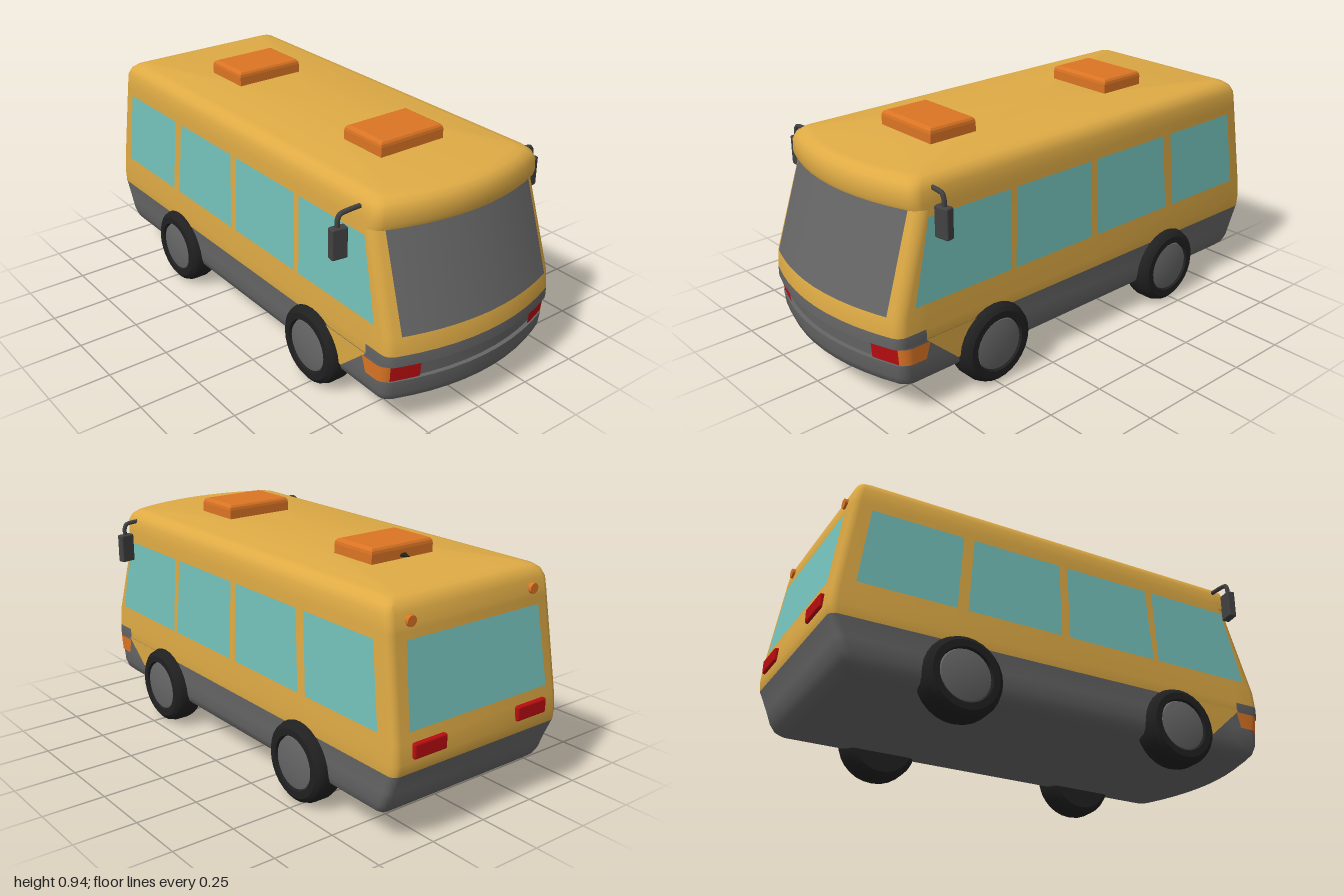
import * as THREE from 'three';
import { toCreasedNormals } from 'three/addons/utils/BufferGeometryUtils.js';
import { RoundedBoxGeometry } from 'three/addons/geometries/RoundedBoxGeometry.js';

const mat = (name, color, side = THREE.FrontSide) => {
  const m = new THREE.MeshStandardMaterial({ color, side });
  m.name = name;
  return m;
};

// Body levels: [y, half width, front z at the middle, back z]
const LEVELS = [
  [0.105, 0.345, 0.92, -0.865],
  [0.113, 0.375, 0.952, -0.895],
  [0.13, 0.393, 0.972, -0.915],
  [0.16, 0.402, 0.982, -0.932],
  [0.215, 0.405, 0.987, -0.952],
  [0.2152, 0.405, 0.97, -0.952],
  [0.2848, 0.407, 0.976, -0.982],
  [0.285, 0.407, 1.0, -0.982],
  [0.29, 0.408, 1.0, -0.985],
  [0.33, 0.408, 1.0, -0.989],
  [0.40, 0.407, 0.992, -0.983],
  [0.77, 0.392, 0.875, -0.927],
  [0.773, 0.392, 0.894, -0.927],
  [0.79, 0.391, 0.90, -0.924],
  [0.835, 0.389, 0.899, -0.916],
  [0.863, 0.377, 0.888, -0.903],
  [0.879, 0.357, 0.87, -0.883],
  [0.886, 0.328, 0.84, -0.855],
];
const R = 0.03, BOW = 0.085, HALF = 18, RING = 34;

// Level values at any height
function levelAt(y) {
  let i = 0;
  while (i < LEVELS.length - 2 && LEVELS[i + 1][0] < y) i++;
  const a = LEVELS[i], b = LEVELS[i + 1], t = (y - a[0]) / (b[0] - a[0]);
  return a.map((v, k) => v + (b[k] - v) * t);
}

// Half outline from front middle round the +x side to back middle
function halfRing([, hw, zf, zb]) {
  const pts = [], bow = (x, z) => pts.push([x, z - BOW * (x / hw) ** 2]);
  for (let k = 0; k <= 5; k++) bow((hw - R) * k / 5, zf);
  for (let k = 1; k <= 4; k++) {
    const a = k * Math.PI / 8;
    bow(hw - R + R * Math.sin(a), zf - R + R * Math.cos(a));
  }
  pts.push([hw, 0.8 * zf], [hw, 0]);
  for (let k = 0; k <= 4; k++) {
    const a = k * Math.PI / 8;
    pts.push([hw - R + R * Math.cos(a), zb + R - R * Math.sin(a)]);
  }
  pts.push([0, zb]);
  return pts;
}

function bodyGeometry() {
  const pos = [], yellow = [], grey = [];
  LEVELS.forEach(l => {
    const h = halfRing(l);
    const ring = [...h, ...h.slice(1, HALF - 1).reverse().map(([x, z]) => [-x, z])];
    ring.forEach(([x, z]) => pos.push(x, l[0], z));
  });
  const last = LEVELS.length - 1;
  for (let j = 0; j < last; j++) for (let i = 0; i < RING; i++) {
    const a = j * RING + i, b = j * RING + (i + 1) % RING, c = b + RING, d = a + RING;
    const front = i < 10 || i >= RING - 10;
    const isGrey = LEVELS[j][0] < 0.289 || (LEVELS[j][0] < 0.32 && front);
    (isGrey ? grey : yellow).push(a, b, d, b, c, d);
  }
  // Floor and roof caps
  const floor = pos.length / 3, roof = floor + 1;
  pos.push(0, LEVELS[0][0], 0, 0, LEVELS[last][0] + 0.002, 0);
  for (let i = 0; i < RING; i++) {
    const n = (i + 1) % RING;
    grey.push(floor, n, i);
    yellow.push(roof, last * RING + i, last * RING + n);
  }
  const g = new THREE.BufferGeometry();
  g.setAttribute('position', new THREE.Float32BufferAttribute(pos, 3));
  g.setIndex([...yellow, ...grey]);
  g.addGroup(0, yellow.length, 0);
  g.addGroup(yellow.length, grey.length, 1);
  return toCreasedNormals(g, 0.6);
}

// Surface rules: side by (z, y), back by (x, y), wrap by (outline index, y)
const onSide = s => (z, y) => [s * (levelAt(y)[1] + 0.004), y, z];
const onBack = (x, y) => [x, y, levelAt(y)[3] - 0.004];
const onWrap = off => (t, y) => {
  const h = halfRing(levelAt(y)), s = Math.sign(t), u = Math.abs(t);
  const i = Math.min(Math.floor(u), 9), f = u - i;
  const x = h[i][0] + (h[i + 1][0] - h[i][0]) * f, z = h[i][1] + (h[i + 1][1] - h[i][1]) * f;
  return [s * (x + (i >= 5 ? off : off * u / 5)), y, z + off];
};

// Thin sheet over the body; corners are bottom left, bottom right, top right, top left
function patchGeometry([bl, br, tr, tl], rule, n = 1) {
  const g = new THREE.PlaneGeometry(1, 1, n, 2), p = g.attributes.position;
  for (let i = 0; i < p.count; i++) {
    const u = p.getX(i) + 0.5, v = p.getY(i) + 0.5;
    const [a, y] = [0, 1].map(k =>
      (bl[k] * (1 - u) + br[k] * u) * (1 - v) + (tl[k] * (1 - u) + tr[k] * u) * v);
    p.setXYZ(i, ...rule(a, y));
  }
  g.computeVertexNormals();
  return g;
}
const flip = ([bl, br, tr, tl]) => [br, bl, tl, tr];

export function createModel() {
  const yellow = mat('yellow paint', 0xdfab45, THREE.DoubleSide);
  const grey = mat('grey', 0x666666, THREE.DoubleSide);
  const glass = mat('teal glass', 0x74c2bb, THREE.DoubleSide);
  const orange = mat('orange', 0xdc7524, THREE.DoubleSide);
  const red = mat('red', 0xba0d10, THREE.DoubleSide);
  const black = mat('tyre black', 0x202020);
  const dark = mat('dark grey', 0x424242);

  const model = new THREE.Group(), bus = new THREE.Group();
  bus.name = 'bus';
  bus.position.x = 0.022;
  model.add(bus);
  const add = (name, geo, m, x = 0, y = 0, z = 0, parent = bus) => {
    const o = new THREE.Mesh(geo, m);
    o.name = name;
    o.position.set(x, y, z);
    parent.add(o);
    return o;
  };

  add('body', bodyGeometry(), [yellow, grey]);
  add('windscreen', patchGeometry([[-4.67, 0.405], [4.67, 0.405], [4.72, 0.769], [-4.72, 0.769]], onWrap(0.004), 20), grey);
  add('rearWindow', patchGeometry([[0.34, 0.44], [-0.34, 0.44], [-0.32, 0.745], [0.32, 0.745]], onBack), glass);

  // Side windows: front and back z at the bottom, then at the top
  const windows = [
    [0.845, 0.405, 0.767, 0.395], [0.38, -0.018, 0.362, -0.018],
    [-0.055, -0.46, -0.055, -0.435], [-0.505, -0.9, -0.48, -0.855],
  ];

  // Wheel profiles
  const lathe = pts => toCreasedNormals(
    new THREE.LatheGeometry(pts.map(p => new THREE.Vector2(...p)), 28), 0.6);
  const tyreGeo = lathe([[0, -0.0625], [0.135, -0.0625], [0.152, -0.05], [0.16, -0.028], [0.16, 0.028],
    [0.152, 0.05], [0.135, 0.0625], [0.108, 0.0625], [0.104, 0.045], [0, 0.045]]);
  const hubGeo = lathe([[0.105, 0.045], [0.1, 0.056], [0.07, 0.062], [0, 0.065]]);

  for (const s of [1, -1]) {
    const side = s > 0 ? 'left' : 'right';
    const orient = q => (s > 0 ? q : flip(q));
    windows.forEach(([a, b, c, d], i) => add(`${side}Window${i + 1}`,
      patchGeometry(orient([[a, 0.43], [b, 0.43], [d, 0.745], [c, 0.745]]), onSide(s)), glass));
    // Painted wedge ahead of the front wheel
    add(`${side}FrontWedge`, patchGeometry(
      orient([[0.66, 0.16], [0.5, 0.16], [0.5, 0.292], [0.805, 0.292]]), onSide(s), 4), yellow);

    // Headlights and wrapped indicators
    const lamp = (a, b, c) => orient([[s * a, 0.217], [s * b, 0.217], [s * c, 0.283], [s * a, 0.283]]);
    add(`${side}Headlight`, patchGeometry(lamp(3.55, 5, 5), onWrap(0.009), 4), red);
    add(`${side}Indicator`, patchGeometry(lamp(5, 9.7, 10), onWrap(0.009), 10), orange);

    // Rear lamps
    add(`${side}TailLight`, new RoundedBoxGeometry(0.152, 0.058, 0.03, 2, 0.008), red, s * 0.252, 0.37, -0.985);
    const marker = add(`${side}RearMarker`, new THREE.CylinderGeometry(0.02, 0.024, 0.04, 16), orange, s * 0.297, 0.806, -0.913);
    marker.rotation.x = -Math.PI / 2;

    // Wheels
    for (const [end, z] of [['Front', 0.49], ['Rear', -0.473]]) {
      const wheel = new THREE.Group();
      wheel.name = `${side}${end}Wheel`;
      wheel.position.set(s * 0.379 + 0.003, 0.16, z);
      wheel.rotation.z = -s * Math.PI / 2;
      add('tyre', tyreGeo, black, 0, 0, 0, wheel);
      add('hub', hubGeo, grey, 0, 0, 0, wheel);
      bus.add(wheel);
    }

    // Door mirrors
    const arm = new THREE.CatmullRomCurve3([[0.37, 0.842], [0.43, 0.84], [0.456, 0.835], [0.465, 0.82], [0.466, 0.78]]
      .map(([x, y]) => new THREE.Vector3(s * x, y, 0.735)));
    add(`${side}MirrorArm`, new THREE.TubeGeometry(arm, 20, 0.009, 8), dark, 0, 0, 0, model);
    const mirror = add(`${side}Mirror`, new RoundedBoxGeometry(0.062, 0.118, 0.034, 2, 0.006), dark, s * 0.463, 0.732, 0.735, model);
    mirror.rotation.y = s * 0.15;
  }

  // Roof hatches with bevelled lids
  const w = 0.135, d = 0.091;
  const lid = new THREE.Shape([[-w, -d], [w, -d], [w, d], [-w, d]].map(p => new THREE.Vector2(...p)));
  const hatchGeo = new THREE.ExtrudeGeometry(lid, { depth: 0.04, bevelSize: 0.015, bevelThickness: 0.022, bevelSegments: 3 });
  hatchGeo.rotateX(-Math.PI / 2);
  for (const [name, z] of [['frontHatch', 0.453], ['rearHatch', -0.451]])
    add(name, hatchGeo, orange, -0.002, 0.883, z);

  // Small latch behind the rear hatch
  const latch = new THREE.ConeGeometry(0.018, 0.035, 8).rotateX(-Math.PI / 2).scale(1, 0.5, 1);
  add('hatchLatch', latch, black, -0.002, 0.9, -0.578);

  return model;
}
